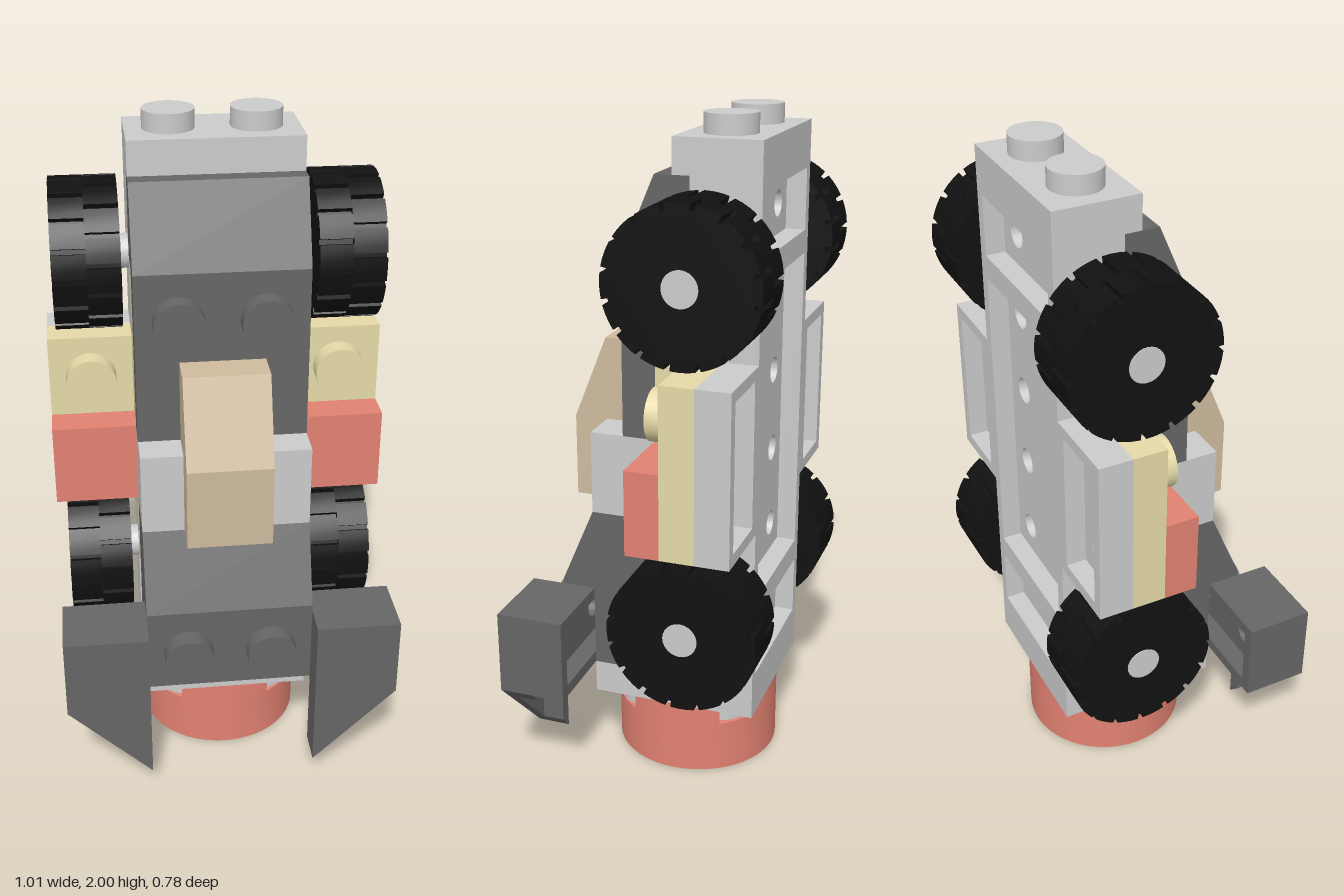
import * as THREE from 'three';
import { toCreasedNormals } from 'three/addons/utils/BufferGeometryUtils.js';

const U = 0.2525, P = 0.101;             // stud pitch and plate thickness
const Y = (j) => 0.33 + U * j;           // rows up the body
const Z = (k) => -0.32 + P * k;          // layers from back to front

const mat = (color) => new THREE.MeshStandardMaterial({ color });
const grey = mat(0xcccccc), dark = mat(0x666666), black = mat(0x111111);
const red = mat(0xe28272), tan = mat(0xe6daa8), beige = mat(0xcfbb9e);

export function createModel() {
  const model = new THREE.Group();

  function add(name, geometry, material, x = 0, y = 0, z = 0, parent = model) {
    const mesh = new THREE.Mesh(geometry, material);
    mesh.name = name;
    mesh.position.set(x, y, z);
    parent.add(mesh);
    return mesh;
  }

  // Box given by its limits on each axis
  function block(name, material, x0, x1, y0, y1, z0, z1) {
    return add(name, new THREE.BoxGeometry(Math.abs(x1 - x0), y1 - y0, z1 - z0), material,
      (x0 + x1) / 2, (y0 + y1) / 2, (z0 + z1) / 2);
  }

  const shapeOf = (pts) => new THREE.Shape(pts.map(([x, y]) => new THREE.Vector2(x, y)));
  const rect = (x0, x1, y0, y1) => [[x0, y0], [x1, y0], [x1, y1], [x0, y1]];
  const extrude = (shape, depth) =>
    new THREE.ExtrudeGeometry(shape, { depth, bevelEnabled: false, curveSegments: 16 });

  // Side outline of [z, y] points stretched across the width
  function slope(name, material, width, pts) {
    const g = extrude(shapeOf(pts.map(([z, y]) => [-z, y])), width);
    g.rotateY(Math.PI / 2);
    add(name, g, material, -width / 2);
  }

  // Plate with a walled recess at the back and a small hole under every stud
  function hollowPlate(name, material, x0, x1, y0, y1, z) {
    const group = new THREE.Group();
    group.name = name;
    model.add(group);
    const t = 0.035, floor = shapeOf(rect(x0, x1, y0, y1)), rim = floor.clone();
    rim.holes.push(shapeOf(rect(x0 + t, x1 - t, y0 + t, y1 - t)));
    for (let x = x0 + U / 2; x < x1; x += U) {
      for (let y = y0 + U / 2; y < y1; y += U) {
        floor.holes.push(new THREE.Path().absarc(x, y, 0.04, 0, Math.PI * 2, true));
      }
    }
    add(name + 'Rim', extrude(rim, 0.06), material, 0, 0, z, group);
    add(name + 'Floor', extrude(floor, P - 0.06), material, 0, 0, z + 0.06, group);
  }

  const studGeometry = new THREE.CylinderGeometry(0.076, 0.076, 0.06, 28);
  function stud(name, material, x, y, z, forward = true) {
    const s = add(name, studGeometry, material, x, y, z);
    if (forward) s.rotation.x = Math.PI / 2;
  }

  // Chassis: hollow back plates and a solid layer in front of them
  for (const [a, b] of [[0, 1], [1, 5], [5, 6]]) {
    hollowPlate('chassisBack', grey, -U, U, Y(a), Y(b), Z(0));
  }
  block('chassisCore', grey, -U, U, Y(0), Y(6), Z(1), Z(2));
  block('topPlate', grey, -U, U, Y(6), Y(6) + P, Z(0), Z(0) + U);
  block('bottomPlate', grey, -U, U, Y(0) - P, Y(0), Z(0), Z(5));
  block('innerPlate', tan, -U, U, Y(1), Y(5), Z(2), Z(3));

  // Front of the body
  slope('upperSlope', dark, 2 * U,
    [[Z(2), Y(5)], [Z(4), Y(5)], [Z(4), 1.61], [Z(3), Y(6)], [Z(2), Y(6)]]);
  block('chestPlate', dark, -U, U, Y(3), Y(5), Z(3), Z(4));
  block('waistBlock', grey, -U, U, Y(2), Y(3), Z(3), Z(5));
  slope('nose', beige, U,
    [[Z(4), Y(2)], [Z(6), Y(2)], [Z(6), Y(3)], [Z(5), Y(4)], [Z(4), Y(4)]]);
  slope('lowerSlope', dark, 2 * U,
    [[Z(3), Y(1)], [Z(6), Y(1)], [Z(6), 0.6], [Z(5), Y(2)], [Z(3), Y(2)]]);
  block('lowerBlock', dark, -U, U, Y(0), Y(1), Z(3), Z(5));
  hollowPlate('wingBar', dark, -2 * U, 2 * U, Y(0), Y(1), Z(5));

  // Tyre outline with notches, cut alternately on the two halves
  function treadGeometry(turn) {
    const n = 16, pts = [], step = (Math.PI * 2) / n;
    for (let i = 0; i < n; i++) {
      const a = (i + turn) * step;
      for (const [f, r] of [[0, 0.203], [0.17, 0.203], [0.18, 0.222], [0.45, 0.222], [0.72, 0.222], [0.99, 0.222]]) {
        pts.push([r * Math.cos(a + f * step), r * Math.sin(a + f * step)]);
      }
    }
    const g = extrude(shapeOf(pts), 0.0975);
    g.rotateY(Math.PI / 2);
    return toCreasedNormals(g, 0.5);
  }
  const treads = [treadGeometry(0), treadGeometry(0.5)];
  const axleGeometry = new THREE.CylinderGeometry(0.051, 0.051, 0.26, 24);
  axleGeometry.rotateZ(Math.PI / 2);

  for (const s of [-1, 1]) {
    const x0 = Math.min(s * U, s * 2 * U), x1 = x0 + U;

    // Studs
    stud('topStud', grey, s * U / 2, Y(6) + P + 0.026, Z(0) + U / 2, false);
    stud('chestStud', dark, s * U / 2, Y(4.5), Z(4) + 0.027);
    stud('lowerStud', dark, s * U / 2, Y(0.5), Z(6) + 0.027);
    for (const d of [-1, 1]) {
      stud('connectorStud', grey, s * U / 2, Y(0) - P - 0.03, -0.067 + d * U / 2, false);
    }

    // Side pods
    hollowPlate('podBack', grey, x0, x1, Y(2), Y(4), Z(0));
    block('podPlate', tan, x0, x1, Y(2), Y(4), Z(1), Z(2));
    block('podBlock', red, x0, x1, Y(2), Y(3), Z(2), Z(3));
    stud('podStud', tan, s * 1.5 * U, Y(3.5), Z(2) + 0.03);

    // Wheels
    for (const y of [Y(1), Y(5)]) {
      const wheel = new THREE.Group();
      wheel.name = 'wheel';
      wheel.position.set(0, y, -0.168);
      model.add(wheel);
      treads.forEach((g, i) => add('tyreHalf', g, black, (s > 0 ? 0.28 : -0.475) + i * 0.0975, 0, 0, wheel));
      add('axle', axleGeometry, grey, s * 0.348, 0, 0, wheel);
    }

    // Pointed wings: front skin with a rim that is open along the slanted edge
    const wing = new THREE.Group();
    wing.name = 'wing';
    model.add(wing);
    const m = (pts) => shapeOf(pts.map(([x, y]) => [s * x, y]));
    add('wingSkin', extrude(m([[U, 0.08], [2 * U, Y(0)], [2 * U, Y(1)], [U, Y(1)]]), 0.035), dark, 0, 0, Z(7) - 0.035, wing);
    const rim = m([[U, 0.08], [0.292, 0.12], [0.292, Y(1) - 0.04], [0.465, Y(1) - 0.04], [0.465, 0.29],
      [2 * U, Y(0)], [2 * U, Y(1)], [U, Y(1)]]);
    add('wingRim', extrude(rim, P - 0.035), dark, 0, 0, Z(6), wing);
  }

  // Round base: ring, recessed disc and an upper rim with four notches
  const base = new THREE.Group();
  base.name = 'roundBase';
  base.position.z = -0.067;
  model.add(base);
  const R = 0.2525, r = 0.17;
  const ring = new THREE.LatheGeometry(
    [[r, 0], [R, 0], [R, 0.16], [r, 0.16], [r, 0]].map(([x, y]) => new THREE.Vector2(x, y)), 48);
  add('baseRing', toCreasedNormals(ring, 0.6), red, 0, 0, 0, base);
  add('baseDisc', new THREE.CylinderGeometry(r, r, 0.1, 36), tan, 0, 0.11, 0, base);
  for (let i = 0; i < 4; i++) {
    const a = i * Math.PI / 2, h = Math.PI / 4 - 0.2;
    const arc = new THREE.Shape().absarc(0, 0, R, a - h, a + h, false);
    arc.absarc(0, 0, 0.21, a + h, a - h, true);
    const g = extrude(arc, Y(0) - P - 0.16);
    g.rotateX(-Math.PI / 2);
    add('baseRim', toCreasedNormals(g, 0.6), red, 0, 0.16, 0, base);
  }

  return model;
}
